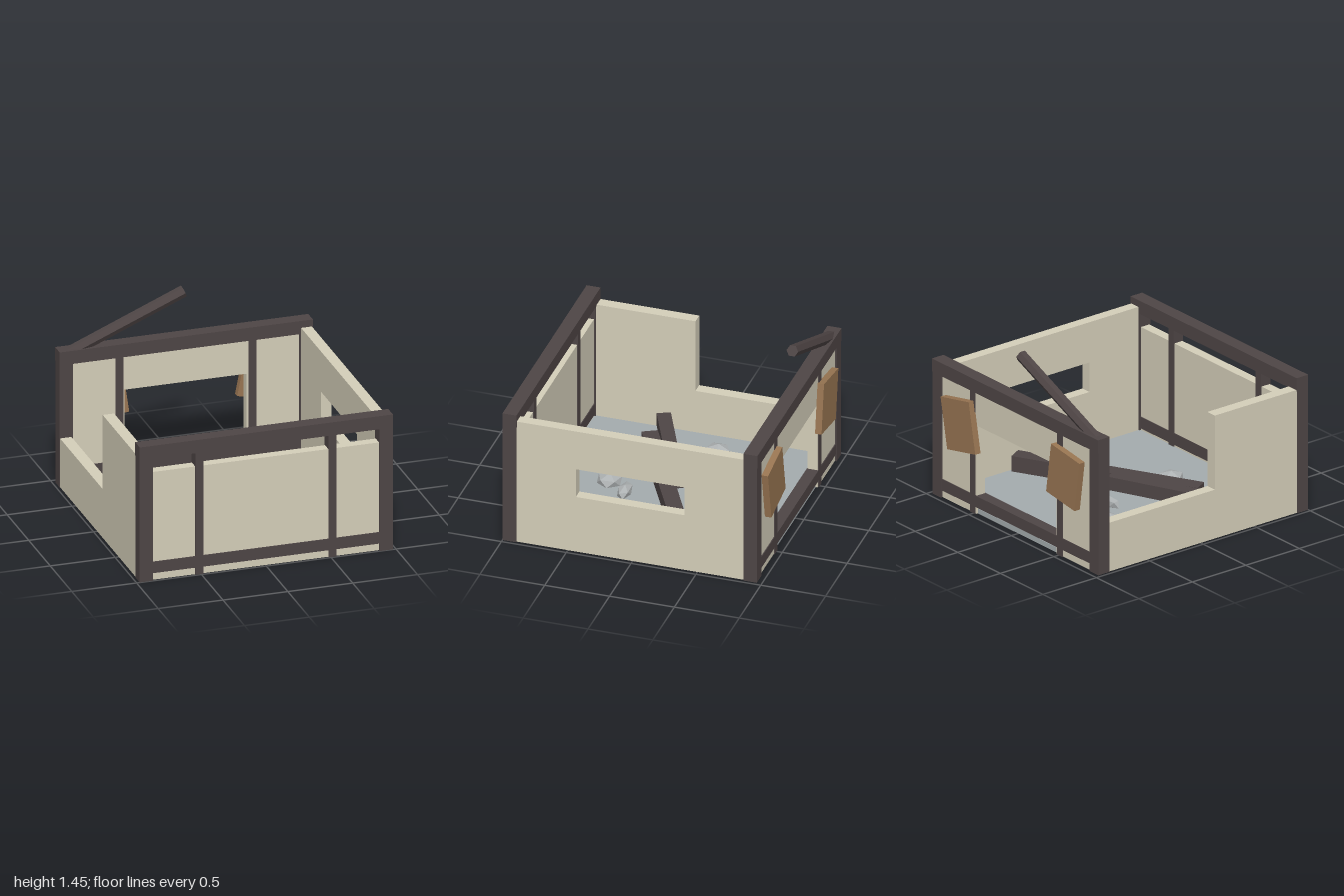
import * as THREE from 'three';

const mat = (name, color) => Object.assign(new THREE.MeshStandardMaterial({ color }), { name });

export function createModel() {
  const model = new THREE.Group();
  model.name = 'ruinedHouse';
  const timber = mat('dark timber', 0x4e4545);
  const plaster = mat('plaster', 0xd4ceb9);
  const stoneFloor = mat('floor stone', 0xa4abad);
  const shutterWood = mat('shutter wood', 0x987552);
  const rubble = mat('rubble stone', 0xaeb2b3);
  rubble.flatShading = true;

  const add = (name, geometry, material, x, y, z) => {
    const mesh = new THREE.Mesh(geometry, material);
    mesh.name = name;
    mesh.position.set(x, y, z);
    model.add(mesh);
    return mesh;
  };
  const box = (name, material, w, h, d, x, y, z) =>
    add(name, new THREE.BoxGeometry(w, h, d), material, x, y, z);
  const points = (list) => list.map(([x, y]) => new THREE.Vector2(x, y));
  const panel = (outline, depth, hole) => {
    const shape = new THREE.Shape(points(outline));
    if (hole) shape.holes.push(new THREE.Path(points(hole)));
    return new THREE.ExtrudeGeometry(shape, { depth, bevelEnabled: false });
  };

  // Floor slab
  box('floor', stoneFloor, 1.92, 0.04, 1.91, 0, 0.02, 0.02);

  // Timber frames at the front and back
  const frames = [['front', 0.947, 0.946], ['back', -0.911, -0.912]];
  for (const [side, z, beamZ] of frames) {
    box(side + 'TopBeam', timber, 1.952, 0.104, 0.108, 0, 1.023, beamZ);
    box(side + 'BottomRail', timber, 1.8, 0.09, 0.09, 0, 0.102, z);
    for (const s of [-1, 1]) {
      box(side + 'CornerPost', timber, 0.102, 1.025, 0.102, s * 0.925, 0.5125, z);
      box(side + 'Stud', timber, 0.06, 0.99, 0.09, s * 0.513, 0.495, z);
    }
  }

  // Front wall stops short of the beam
  const base = 0.002;
  box('frontWall', plaster, 1.8, 0.86 - base, 0.076, 0, (0.86 + base) / 2, 0.947);

  // Back wall with a wide doorway
  add('backWall', panel([
    [-0.9, base], [-0.47, base], [-0.47, 0.705], [0.47, 0.705],
    [0.47, base], [0.9, base], [0.9, 0.98], [-0.9, 0.98],
  ], 0.076), plaster, 0, 0, -0.949);

  // Side walls: one with a window, one partly collapsed
  const windowedWall = add('windowedSideWall', panel(
    [[-0.9, base], [0.94, base], [0.94, 1.02], [-0.9, 1.02]], 0.083,
    [[-0.4, 0.465], [-0.4, 0.7], [0.437, 0.7], [0.437, 0.465]]), plaster, 0.968, 0, 0);
  const brokenWall = add('brokenSideWall', panel([
    [-0.9, base], [0.94, base], [0.94, 0.98], [0.13, 0.98], [0.13, 0.39], [-0.9, 0.39],
  ], 0.088), plaster, -0.885, 0, 0);
  windowedWall.rotation.y = brokenWall.rotation.y = -Math.PI / 2;

  // Crooked shutters on the back
  for (const [x, tilt] of [[0.627, -0.195], [-0.605, 0.145]]) {
    box('shutter', shutterWood, 0.337, 0.4, 0.05, x, 0.665, -0.975).rotation.z = tilt;
  }

  // Broken six-sided rafter leaning up from the back beam
  const rafter = add('brokenRafter', new THREE.CylinderGeometry(0.045, 0.045, 1, 6).toNonIndexed(),
    timber, -0.464, 1.2195, -0.91);
  rafter.geometry.computeVertexNormals();
  rafter.rotation.z = -Math.PI / 2 + 0.397;

  // Fallen beams on the floor
  const fallen = [
    [1.487, 0.122, 0.14, 0.152, 0.0145, 0.486],
    [0.92, 0.105, -0.372, 0.165, 0.154, 0.425],
  ];
  for (const [length, size, x, y, z, turn] of fallen) {
    box('fallenBeam', timber, length, size, size, x, y, z).rotation.y = turn;
  }

  // Rubble: position, half sizes, spin
  const stones = [
    [-0.48, -0.31, 0.088, 0.055, 0.11, 0.3],
    [-0.32, -0.335, 0.13, 0.05, 0.065, 1.1],
    [-0.64, -0.125, 0.083, 0.06, 0.097, 2.0],
    [-0.058, -0.14, 0.125, 0.05, 0.042, 0.7],
    [0.118, 0.342, 0.108, 0.05, 0.052, 1.6],
    [0.003, 0.498, 0.096, 0.055, 0.098, 2.6],
  ];
  for (const [x, z, rx, ry, rz, spin] of stones) {
    const rock = new THREE.IcosahedronGeometry(1, 0);
    rock.rotateZ(0.5).rotateY(spin).scale(rx * 1.05, ry, rz * 1.05);
    rock.computeVertexNormals();
    add('rubbleStone', rock, rubble, x, 0.065, z);
  }
  return model;
}
